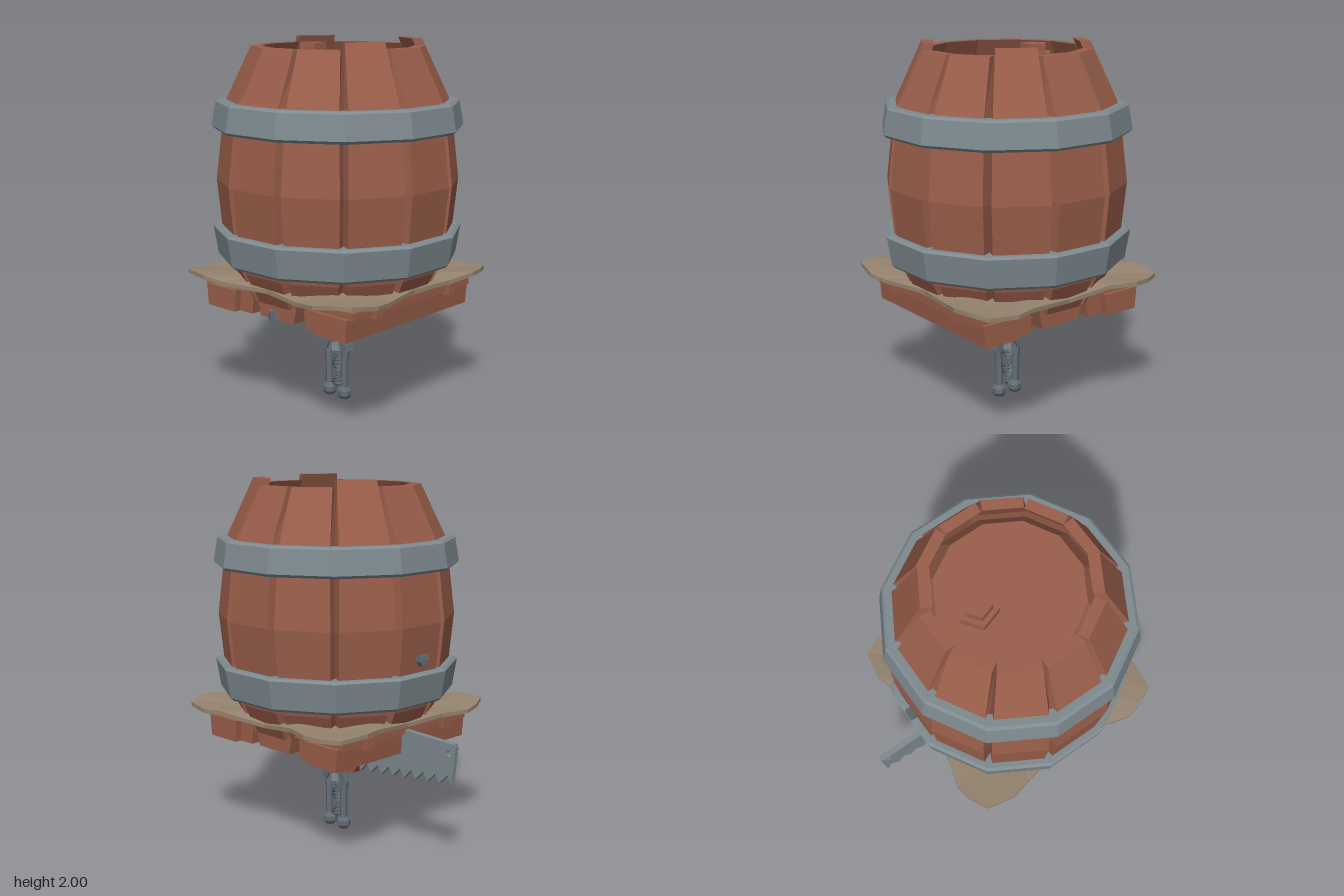
import * as THREE from 'three';

const mat = (name, color) => {
  const m = new THREE.MeshStandardMaterial({ color });
  m.name = name;
  return m;
};

// Closed solid through rings of [x, y, z], each counter-clockwise seen from above
function loft(rings) {
  const n = rings[0].length, idx = [];
  for (let i = 0; i < rings.length - 1; i++)
    for (let j = 0; j < n; j++) {
      const a = i * n + j, b = i * n + (j + 1) % n;
      idx.push(a, b, b + n, a, b + n, a + n);
    }
  const top = (rings.length - 1) * n;
  for (let j = 1; j < n - 1; j++) idx.push(0, j + 1, j, top, top + j, top + j + 1);
  const g = new THREE.BufferGeometry();
  g.setAttribute('position', new THREE.Float32BufferAttribute(rings.flat(2), 3));
  g.setIndex(idx);
  return g;
}

// Flat outline in x/y, extruded evenly about z = 0
function plate(points, depth, holes = []) {
  const s = new THREE.Shape(points.map(([x, y]) => new THREE.Vector2(x, y)));
  for (const [x, y, r] of holes) s.holes.push(new THREE.Path().absarc(x, y, r, 0, Math.PI * 2, true));
  return new THREE.ExtrudeGeometry(s, { depth, bevelEnabled: false, curveSegments: 5 }).translate(0, 0, -depth / 2);
}

const tube = (pts, r, sides = 6, steps = 10) => new THREE.TubeGeometry(
  new THREE.CatmullRomCurve3(pts.map(p => new THREE.Vector3(...p))), steps, r, sides);

export function createModel() {
  const wood = mat('wood', 0x9a5e4a);
  const iron = mat('iron', 0x7e8a90);
  const steel = mat('dark steel', 0x626c75);
  const cloth = mat('cloth', 0x95836f);
  const brass = mat('pale fitting', 0xa88b76);
  const handleWood = mat('handle wood', 0x9c5638);

  const root = new THREE.Group();
  root.name = 'barrelWithTools';
  const barrel = new THREE.Group();
  barrel.name = 'barrel';
  barrel.position.x = 0.115;
  root.add(barrel);

  // Faceted mesh helper
  const add = (parent, name, geo, material, x = 0, y = 0, z = 0) => {
    const g = geo.index ? geo.toNonIndexed() : geo;
    g.computeVertexNormals();
    const m = new THREE.Mesh(g, material);
    m.name = name;
    m.position.set(x, y, z);
    parent.add(m);
    return m;
  };
  const box = (w, h, d) => new THREE.BoxGeometry(w, h, d);
  const cyl = (r1, r2, h, n = 8) => new THREE.CylinderGeometry(r1, r2, h, n);

  // Twelve bowed staves with V grooves; three stand taller
  const profile = [[0.64, 0.49], [0.8, 0.565], [1.0, 0.61], [1.26, 0.635], [1.52, 0.605], [1.68, 0.582]];
  const tan = Math.tan(Math.PI / 12);
  for (let k = 0; k < 12; k++) {
    const tall = [2, 5, 8].includes(k);
    const rows = [...profile, tall ? [2.0, 0.435] : [1.965, 0.448]];
    const rings = rows.map(([y, r], i) => {
      const gap = i === 6 ? 0.012 : 0.022, inner = r - 0.058;
      const o = r * tan - gap, w = inner * tan;
      return [[-o, y, r], [o, y, r], [w, y, inner], [-w, y, inner]];
    });
    add(barrel, 'stave', loft(rings), wood).rotation.y = k * Math.PI / 6;
  }

  // Barrel ends
  const turn = Math.PI / 12;
  const twelve = (r1, r2, h) => cyl(r1 / Math.cos(turn), r2 / Math.cos(turn), h, 12).rotateY(turn);
  add(barrel, 'lid', twelve(0.365, 0.44, 0.1), wood, 0, 1.835);
  add(barrel, 'bottom', twelve(0.48, 0.45, 0.05), wood, 0, 0.7);

  // Five-sided plug on the lid
  add(barrel, 'plugBase', cyl(0.105, 0.105, 0.05, 5).rotateY(-Math.PI / 2), wood, -0.19, 1.905);
  add(barrel, 'plugTop', cyl(0.075, 0.075, 0.05, 5).rotateY(-Math.PI / 2), wood, -0.19, 1.95);

  // Iron hoops
  const hoop = (name, y0, y1, r0, r1) => {
    const pts = [[0.55, y0], [r0 - 0.015, y0], [r0, y0 + 0.015], [r1, y1 - 0.012], [r1 - 0.015, y1], [0.55, y1], [0.55, y0]];
    const g = new THREE.LatheGeometry(
      pts.map(([r, y]) => new THREE.Vector2(r / Math.cos(turn), y)), 12, turn);
    add(barrel, name, g, iron);
  };
  hoop('lowerHoop', 0.83, 1.01, 0.628, 0.652);
  hoop('upperHoop', 1.53, 1.685, 0.652, 0.63);

  // Small peg on the barrel's side
  add(barrel, 'sidePeg', box(0.07, 0.03, 0.06), steel, -0.62, 1.085, 0).rotation.z = -0.35;
  add(barrel, 'sidePegHead', cyl(0.03, 0.03, 0.03, 6).rotateZ(Math.PI / 2), steel, -0.64, 1.075, 0);

  // Draped cloth with rounded, lifted corners
  const quarter = [[0.54, 0], [0.575, 0.25], [0.625, 0.4], [0.605, 0.5], [0.555, 0.6], [0.395, 0.63], [0.285, 0.6]];
  const rim = [];
  for (let q = 0; q < 4; q++) for (const [a, b] of quarter)
    rim.push([[b, a], [a, -b], [-b, -a], [-a, b]][q]);
  // order the outline counter-clockwise from above
  rim.sort((p, q) => Math.atan2(p[0], p[1]) - Math.atan2(q[0], q[1]));
  const clothRing = (s, lift) => rim.map(([x, z]) => {
    const r = Math.hypot(x, z), corner = Math.min(1, Math.max(0, (r - 0.54) / 0.25));
    const wave = 0.012 * Math.sin(9 * Math.atan2(x, z) + 1);
    return [x * s, 0.705 + (s > 0.9 ? 0.03 * corner : 0.012) + wave * s + lift, z * s];
  });
  add(barrel, 'cloth', loft([clothRing(0.55, 0), clothRing(0.8, 0), clothRing(1, 0),
    clothRing(1, 0.022), clothRing(0.8, 0.03), clothRing(0.55, 0.03)]), cloth);

  // Wooden base frame
  const tapered = (w, d, wTop, y0, y1) => loft([[w, y0], [wTop, y1]].map(([a, y]) =>
    [[-a / 2, y, d / 2], [a / 2, y, d / 2], [a / 2, y, -d / 2], [-a / 2, y, -d / 2]]));
  add(barrel, 'deck', box(1.08, 0.04, 0.96), wood, 0, 0.685);
  add(barrel, 'underPlate', box(0.62, 0.01, 0.9), steel, 0, 0.66);
  for (const s of [-1, 1]) {
    add(barrel, 'sideBeam', tapered(0.21, 1.0, 0.23, 0.55, 0.67), wood, s * 0.4, 0, 0);
    add(barrel, 'endBlock', tapered(0.24, 0.12, 0.3, 0.56, 0.68), wood, 0, 0, s * 0.41);
    for (const t of [-1, 1]) {
      add(barrel, 'cornerBlock', tapered(0.1, 0.2, 0.14, 0.55, 0.67), wood, t * 0.25, 0, s * 0.36);
      add(barrel, 'boardEnd', box(0.04, 0.06, 0.05), wood, t * 0.54, 0.675, s * 0.3);
    }
  }
  add(barrel, 'frontPeg', cyl(0.012, 0.035, 0.06, 5).rotateX(0.5), steel, -0.015, 0.59, 0.485);

  // Tools beneath the barrel
  const tools = new THREE.Group();
  tools.name = 'tools';
  root.add(tools);

  // Saw: blade with teeth along the lower edge
  const blade = [[-0.77, 0.665], [-0.745, 0.455]];
  for (let i = 0; i < 8; i++) {
    const x = -0.745 + i * 0.083, y = 0.455 - i * 0.009;
    blade.push([x + 0.03, y + 0.045], [x + 0.083, y - 0.009]);
  }
  blade.push([-0.06, 0.55], [-0.06, 0.7], [-0.4, 0.69]);
  add(tools, 'sawBlade', plate(blade, 0.022, [[-0.725, 0.62, 0.018]]), iron);
  add(tools, 'sawSpine', box(0.66, 0.02, 0.034), iron, -0.43, 0.676, 0).rotation.z = 0.035;

  // Hooked saw handle with rivet
  const hook = [[-0.12, 0.57], [-0.11, 0.45], [-0.05, 0.37], [0.04, 0.35], [0.15, 0.36], [0.19, 0.41], [0.19, 0.48],
    [0.13, 0.47], [0.11, 0.43], [0.03, 0.42], [-0.02, 0.47], [-0.03, 0.57]];
  add(tools, 'sawHandle', plate(hook, 0.07), handleWood);
  add(tools, 'rivet', cyl(0.028, 0.028, 0.09, 8).rotateX(Math.PI / 2), iron, -0.065, 0.475, 0);

  // Gear
  const gear = [];
  for (let i = 0; i < 8; i++)
    for (const [o, r] of [[-0.27, 0.095], [-0.16, 0.135], [0.16, 0.135], [0.27, 0.095]]) {
      const a = i * Math.PI / 4 + o;
      gear.push([0.115 + r * Math.cos(a), 0.5 + r * Math.sin(a)]);
    }
  add(tools, 'gear', plate(gear, 0.05, [[0.115, 0.5, 0.04]]), steel, 0, 0, 0.045);
  add(tools, 'gearAxle', cyl(0.035, 0.035, 0.16, 6), steel, 0.115, 0.6, 0);

  // Bent pipe with pale collar
  add(tools, 'pipe', tube([[0.315, 0.6, 0], [0.315, 0.46, 0], [0.3, 0.42, 0], [0.26, 0.41, 0], [0.19, 0.415, 0]], 0.03), steel);
  add(tools, 'collar', cyl(0.034, 0.034, 0.1), brass, 0.315, 0.51, 0);
  for (const y of [0.48, 0.545]) add(tools, 'collarRing', cyl(0.05, 0.05, 0.03), brass, 0.315, y, 0);

  // Pliers: two legs with ball ends, joined at a pivot
  for (const s of [-1, 1]) {
    const x = 0.115 + s * 0.055;
    add(tools, 'plierLeg', tube([[0.115 + s * 0.02, 0.42, 0], [x + s * 0.015, 0.34, 0], [x + s * 0.005, 0.24, 0], [x, 0.05, 0]], 0.024), steel);
    add(tools, 'plierBall', new THREE.SphereGeometry(0.043, 7, 5), steel, x, 0.043, 0);
    add(tools, 'plierJaw', box(0.045, 0.09, 0.06), steel, 0.115 + s * 0.062, 0.33, 0).rotation.z = s * 0.35;
    add(tools, 'plierKnob', cyl(0.03, 0.03, 0.035, 6).rotateX(Math.PI / 2), steel, 0.115, 0.36, s * 0.035);
  }

  // Twisted drill bit and its chuck
  add(tools, 'drillChuck', cyl(0.042, 0.042, 0.05, 8), iron, 0.115, 0.31, 0);
  const twist = [];
  for (let i = 0; i <= 12; i++) {
    const a = i * 0.55, r = i === 0 ? 0.004 : 0.03;
    twist.push([[0, 1], [1, 0], [0, -1], [-1, 0]].map(([u, v]) => {
      const p = u * r, q = v * r * 0.35;
      return [p * Math.cos(a) + q * Math.sin(a), 0.06 + i * 0.02, q * Math.cos(a) - p * Math.sin(a)];
    }));
  }
  add(tools, 'drillBit', loft(twist), steel, 0.115, 0, 0);

  return root;
}
